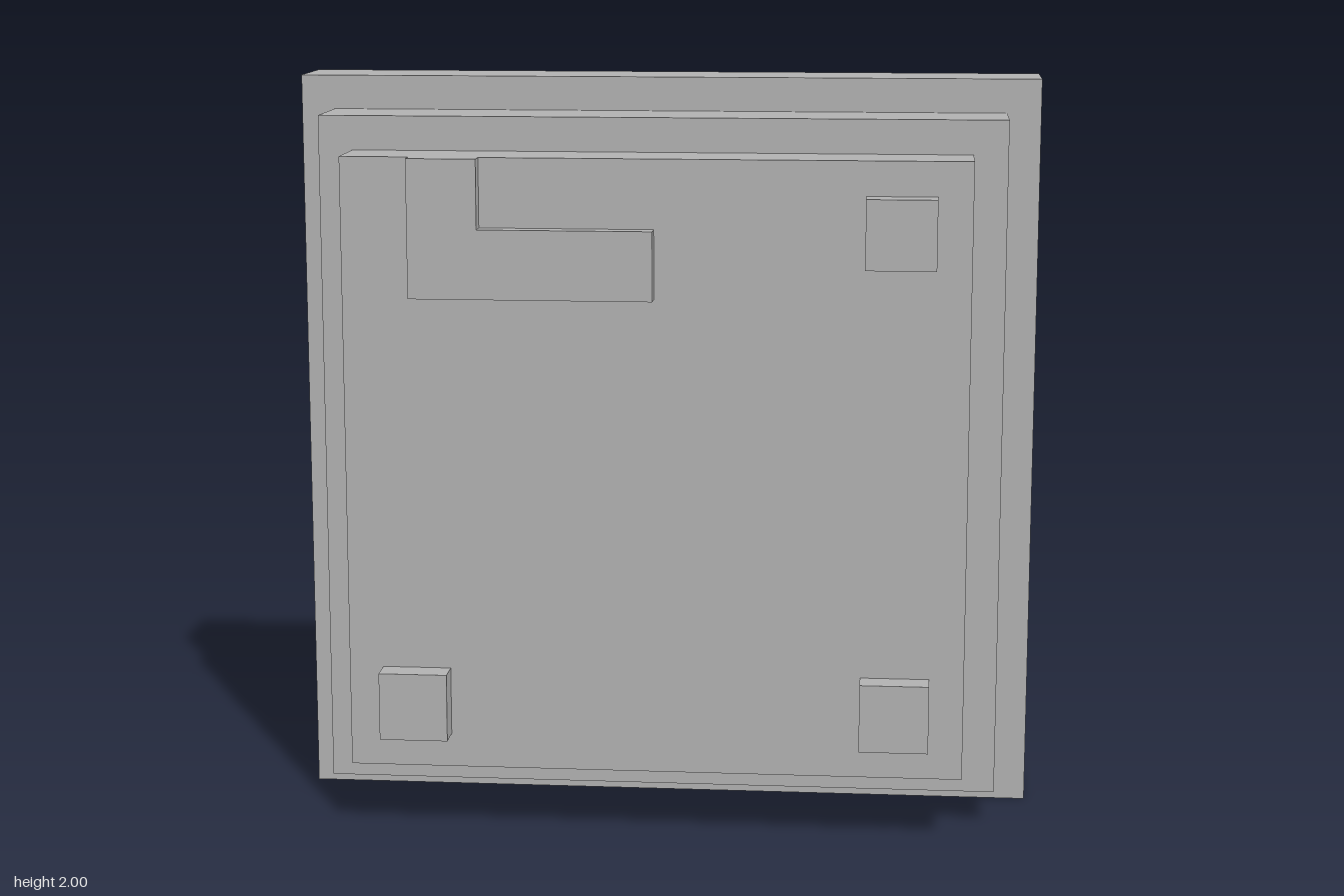
import * as THREE from 'three';

// One design unit: the base plate is 22 units wide.
const U = 2 / 22;
const BACK = -3.9;

export function createModel() {
  const model = new THREE.Group();
  model.name = 'steppedPanel';
  const grey = new THREE.MeshStandardMaterial({ color: 0xb2b2b2 });
  grey.name = 'grey';

  // Box given by its centre x, y and its back z, all in units.
  function addBox(name, w, h, d, x, y, z) {
    const mesh = new THREE.Mesh(new THREE.BoxGeometry(w * U, h * U, d * U), grey);
    mesh.position.set(x * U, y * U, (z + d / 2) * U);
    mesh.name = name;
    model.add(mesh);
  }

  // Three stacked square plates, each smaller than the one behind
  let z = BACK;
  for (const [name, size, depth] of [
    ['basePlate', 22, 2.5],
    ['middlePlate', 20, 2.5],
    ['frontPlate', 18, 2],
  ]) {
    addBox(name, size, size, depth, 0, 11, z);
    z += depth;
  }

  // Square studs in three corners
  addBox('upperLeftStud', 2, 2, 0.8, 7, 18, z);
  addBox('lowerLeftStud', 2, 2, 0.8, 7, 4, z);
  addBox('lowerRightStud', 2, 2, 0.8, -7, 4, z);

  // Raised L-shaped bracket hanging from the top edge
  const outline = [[-7, 16], [0, 16], [0, 18], [-5, 18], [-5, 20], [-7, 20]];
  const shape = new THREE.Shape(outline.map(([x, y]) => new THREE.Vector2(x * U, y * U)));
  const bracket = new THREE.Mesh(
    new THREE.ExtrudeGeometry(shape, { depth: 0.5 * U, bevelEnabled: false }), grey);
  bracket.position.z = z * U;
  bracket.name = 'cornerBracket';
  model.add(bracket);

  return model;
}
